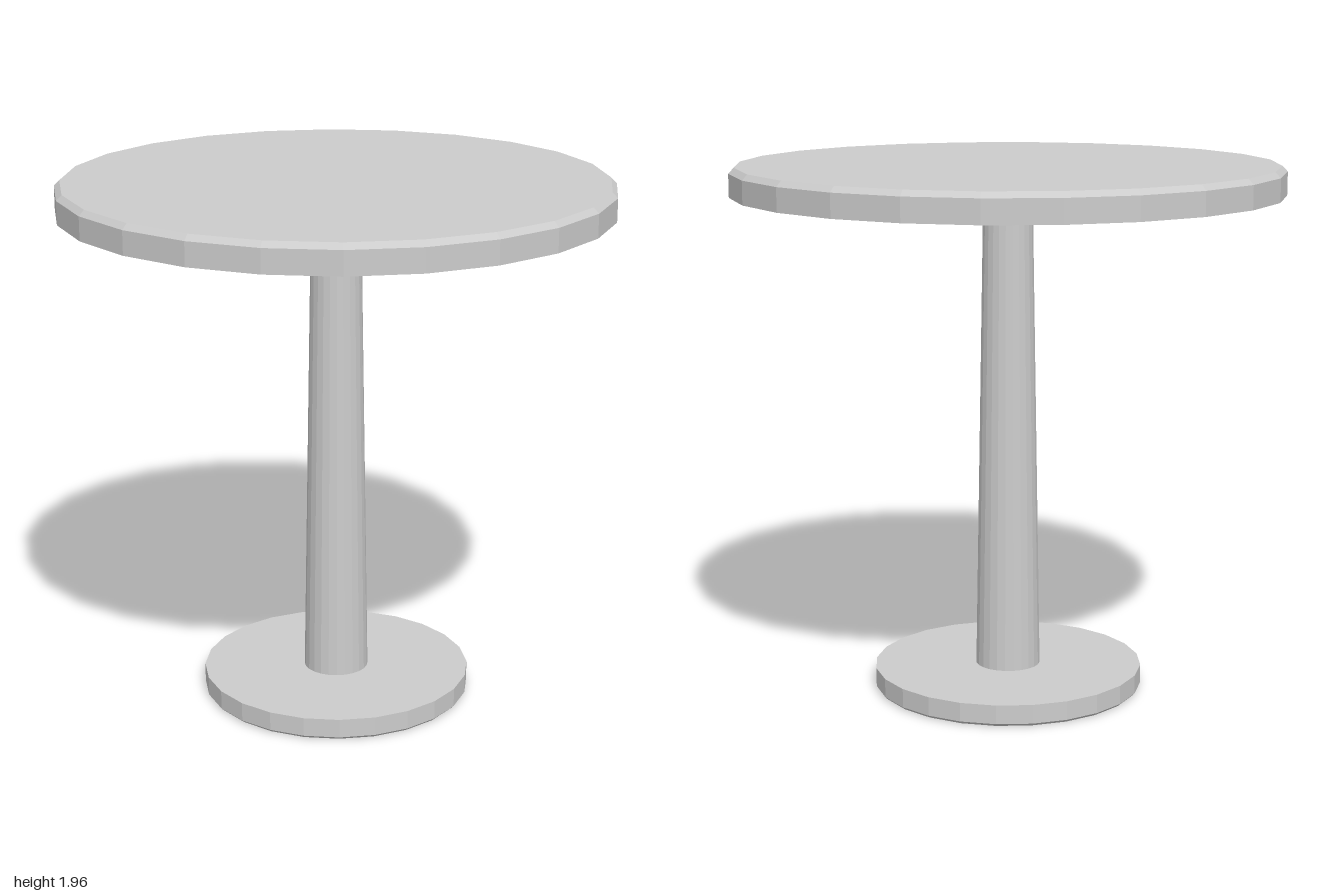
import * as THREE from 'three';

const SIDES = 24;

// Faceted solid of revolution; profile runs from the bottom upwards as [radius, y]
function turned(name, profile, material) {
  const points = profile.map(([r, y]) => new THREE.Vector2(r, y));
  const geometry = new THREE.LatheGeometry(points, SIDES).toNonIndexed();
  geometry.computeVertexNormals();
  const mesh = new THREE.Mesh(geometry, material);
  mesh.name = name;
  return mesh;
}

export function createModel() {
  const group = new THREE.Group();
  group.name = 'pedestalTable';

  const grey = new THREE.MeshStandardMaterial({ color: 0xcccccc });
  grey.name = 'light grey';

  // Round foot with a small bevel along the floor
  group.add(turned('base', [[0, 0], [0.49, 0], [0.5, 0.01], [0.5, 0.08], [0, 0.08]], grey));

  // Tapered column, flaring out where it meets the top
  group.add(turned('column', [[0.12, 0.08], [0.09, 1.84], [0.12, 1.88]], grey));

  // Table top: recessed underside, straight rim, bevelled upper edge
  group.add(turned('tableTop', [
    [0, 1.88], [0.92, 1.88], [0.92, 1.85], [1, 1.85],
    [1, 1.935], [0.98, 1.955], [0, 1.955],
  ], grey));

  return group;
}
